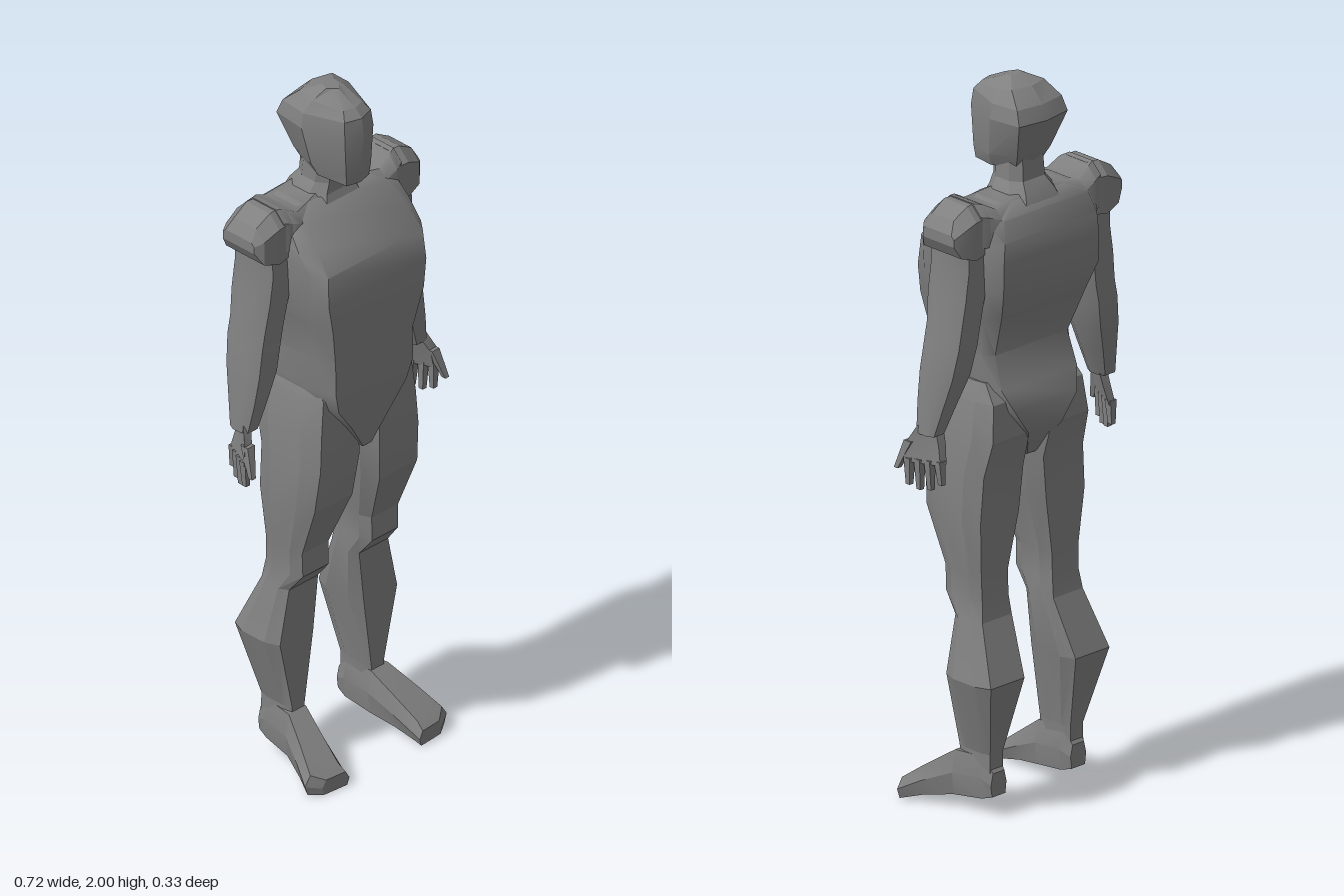
import * as THREE from 'three';
import { toCreasedNormals } from 'three/addons/utils/BufferGeometryUtils.js';

const material = new THREE.MeshStandardMaterial({ color: 0x808080 });

// Closed skin through rings of equal point count, capped at both ends, facing outward
function loft(name, rings, crease = 0.5) {
  const n = rings[0].length;
  const tris = [];
  for (let r = 0; r < rings.length - 1; r++) {
    for (let i = 0; i < n; i++) {
      const j = (i + 1) % n;
      const [a, b, c, d] = [rings[r][i], rings[r][j], rings[r + 1][j], rings[r + 1][i]];
      tris.push([a, b, c], [a, c, d]);
    }
  }
  const first = rings[0], last = rings[rings.length - 1];
  for (let i = 1; i < n - 1; i++) {
    tris.push([first[0], first[i + 1], first[i]], [last[0], last[i], last[i + 1]]);
  }
  const volume = tris.reduce((s, [a, b, c]) => s + a.dot(b.clone().cross(c)), 0);
  const points = tris.flatMap(([a, b, c]) => (volume < 0 ? [a, c, b] : [a, b, c]));
  const geometry = new THREE.BufferGeometry().setFromPoints(points);
  const mesh = new THREE.Mesh(toCreasedNormals(geometry, crease), material);
  mesh.name = name;
  return mesh;
}

// Eight-sided level ring: x from x0 to x1, z from back to front, fx and fz = flat share of each side
function octagon(y, x0, x1, front, back, fx = 0.65, fz = 0.45) {
  const cx = (x0 + x1) / 2, hx = (x1 - x0) / 2;
  const cz = (front + back) / 2, hz = (front - back) / 2;
  return [[fx, 1], [1, fz], [1, -fz], [fx, -1], [-fx, -1], [-1, -fz], [-1, fz], [-fx, 1]]
    .map(([u, v]) => new THREE.Vector3(cx + u * hx, y, cz + v * hz));
}

// Upright ring at a given x, with its top front and top back corners cut off
function sideRing(x, y0, y1, front, back, cut) {
  return [[y0, front], [y1 - cut, front], [y1, front - cut], [y1, back + cut], [y1 - cut, back], [y0, back]]
    .map(([y, z]) => new THREE.Vector3(x, y, z));
}

// Ring mirrored on x from the points of one half, front to back
function mirrored(half) {
  const right = half.map(([x, y, z]) => new THREE.Vector3(x, y, z));
  const left = half.filter(p => p[0] > 0).reverse().map(([x, y, z]) => new THREE.Vector3(-x, y, z));
  return [...right, ...left];
}

const flip = (rings, side, shift = 0) =>
  rings.map(ring => ring.map(p => new THREE.Vector3(side * p.x + shift, p.y, p.z)));

// Tapered four-sided finger between two points
function finger(a, b, w0, w1) {
  return [[a, w0], [b, w1]].map(([p, w]) => [[1, 1], [1, -1], [-1, -1], [-1, 1]]
    .map(([u, v]) => new THREE.Vector3(p[0] + u * w, p[1], p[2] + v * w)));
}

function createTorso() {
  // y, front half width, front z, side half width, side front z, side back z, back half width, back z
  const rows = [
    [1.695, 0.09, 0.01, 0.13, -0.01, -0.09, 0.09, -0.11],
    [1.665, 0.15, 0.042, 0.19, 0.02, -0.11, 0.15, -0.14],
    [1.61, 0.165, 0.098, 0.20, 0.065, -0.12, 0.165, -0.158],
    [1.555, 0.172, 0.145, 0.20, 0.11, -0.12, 0.17, -0.16],
    [1.47, 0.177, 0.153, 0.196, 0.11, -0.12, 0.17, -0.158],
    [1.39, 0.165, 0.156, 0.18, 0.10, -0.09, 0.15, -0.13],
    [1.27, 0.14, 0.14, 0.155, 0.08, -0.06, 0.13, -0.085],
    [1.18, 0.14, 0.142, 0.16, 0.08, -0.07, 0.135, -0.115],
    [1.12, 0.123, 0.135, 0.14, 0.08, -0.08, 0.11, -0.14],
    [1.05, 0.07, 0.128, 0.085, 0.08, -0.08, 0.06, -0.137],
    [0.965, 0.015, 0.115, 0.02, 0.07, -0.06, 0.015, -0.085],
  ];
  return loft('torso', rows.map(([y, a, zf, b, z1, z2, c, zb]) =>
    mirrored([[a, y, zf], [b, y, z1], [b, y, z2], [c, y, zb]])), 0.8);
}

function createHead() {
  // y at front, y at back, nose z, cheek half width and z, temple half width and z, rear half width and z, back z
  const rows = [
    [1.75, 1.765, 0.09, 0.04, 0.08, 0.062, 0.0, 0.045, -0.075, -0.085],
    [1.785, 1.805, 0.094, 0.045, 0.083, 0.08, -0.01, 0.06, -0.095, -0.105],
    [1.90, 1.905, 0.102, 0.052, 0.085, 0.096, -0.03, 0.087, -0.13, -0.144],
    [1.945, 1.945, 0.095, 0.048, 0.08, 0.089, -0.03, 0.08, -0.115, -0.128],
    [1.968, 1.985, 0.072, 0.034, 0.062, 0.067, -0.02, 0.058, -0.072, -0.088],
    [1.998, 2.004, 0.01, 0.015, 0.0, 0.025, -0.01, 0.02, -0.03, -0.035],
  ];
  return loft('head', rows.map(([yf, yb, nose, cw, cz, tw, tz, rw, rz, back]) =>
    mirrored([[0, yf, nose], [cw, yf, cz], [tw, (yf + yb) / 2, tz], [rw, yb, rz], [0, yb, back]])), 0.3);
}

function createArm(side) {
  const arm = new THREE.Group();
  arm.name = side > 0 ? 'leftArm' : 'rightArm';
  const add = (name, rings, crease) => arm.add(loft(name, flip(rings, side), crease));

  // Trapezius bridging the neck and the shoulder cap
  add('shoulderYoke', [
    sideRing(0.05, 1.60, 1.705, 0.01, -0.12, 0.02),
    sideRing(0.15, 1.60, 1.69, 0.035, -0.135, 0.025),
    sideRing(0.19, 1.60, 1.712, 0.035, -0.13, 0.03),
    sideRing(0.215, 1.60, 1.718, 0.025, -0.12, 0.03),
  ], 0.8);
  add('shoulderCap', [
    sideRing(0.20, 1.58, 1.715, 0.027, -0.12, 0.035),
    sideRing(0.235, 1.575, 1.715, 0.03, -0.125, 0.035),
    sideRing(0.282, 1.59, 1.688, 0.022, -0.118, 0.03),
    sideRing(0.302, 1.625, 1.655, 0.005, -0.11, 0.01),
  ], 0.3);

  add('armSleeve', [
    octagon(1.62, 0.18, 0.27, 0.02, -0.115),
    octagon(1.54, 0.172, 0.27, 0.025, -0.115),
    octagon(1.46, 0.178, 0.283, 0.025, -0.115),
    octagon(1.38, 0.19, 0.293, 0.018, -0.11),
    octagon(1.33, 0.20, 0.303, 0.018, -0.11),
    octagon(1.25, 0.217, 0.316, 0.02, -0.10),
    octagon(1.17, 0.25, 0.325, 0.015, -0.08),
    octagon(1.09, 0.28, 0.335, 0.005, -0.06),
  ], 0.9);

  // Palm turned so that the thumb side points forward and outward
  add('palm', [[1.11, 0.293, -0.045, 0.318, -0.005, 0.014], [1.06, 0.296, -0.06, 0.338, 0.02, 0.013],
    [1.01, 0.303, -0.072, 0.345, 0.022, 0.011]].map(([y, xb, zb, xf, zf, t]) =>
    [[xf + t, y, zf], [xf - t, y, zf], [xb - t, y, zb], [xb + t, y, zb]]
      .map(p => new THREE.Vector3(...p))));
  for (let i = 0; i < 4; i++) {
    const x = 0.307 + i * 0.012, z = -0.062 + i * 0.025;
    const tip = [0.955, 0.938, 0.935, 0.945][i];
    add('finger', finger([x, 1.02, z], [x - 0.002, tip, z * 1.1], 0.011, 0.007));
  }
  add('thumb', finger([0.336, 1.065, 0.015], [0.352, 0.985, 0.047], 0.013, 0.007));
  return arm;
}

function createLeg(side) {
  const leg = new THREE.Group();
  leg.name = side > 0 ? 'leftLeg' : 'rightLeg';
  const add = (name, rings, crease) => leg.add(loft(name, flip(rings, side, 0.01), crease));

  // y, inner x, outer x, front z, back z
  const rows = [
    [1.20, 0.10, 0.155, 0.07, -0.08],
    [1.15, 0.06, 0.172, 0.105, -0.12],
    [1.05, 0.02, 0.19, 0.11, -0.13],
    [0.95, 0.016, 0.198, 0.113, -0.103],
    [0.825, 0.03, 0.206, 0.10, -0.10],
    [0.67, 0.065, 0.188, 0.042, -0.09],
    [0.60, 0.066, 0.186, 0.043, -0.092],
    [0.545, 0.06, 0.195, 0.0, -0.10],
    [0.39, 0.075, 0.23, 0.0, -0.165],
    [0.18, 0.115, 0.173, -0.002, -0.115],
    [0.09, 0.115, 0.175, -0.005, -0.115],
  ];
  add('legArmour', rows.map(r => octagon(...r, 0.78, 0.5)), 0.25);

  // z, centre x, half width, sole y, top y, how far the outer edge is swept back
  const foot = [
    [-0.122, 0.143, 0.028, 0.065, 0.13, 0],
    [-0.09, 0.143, 0.036, 0.055, 0.17, 0],
    [0.0, 0.15, 0.043, 0.045, 0.168, 0],
    [0.08, 0.174, 0.056, 0.03, 0.112, 0],
    [0.14, 0.192, 0.066, 0.012, 0.068, 0.004],
    [0.164, 0.173, 0.045, 0.008, 0.05, 0.004],
  ];
  add('foot', foot.map(([z, cx, w, y0, y1, sweep]) => {
    const m = y0 + (y1 - y0) * 0.5;
    return [[-0.85, y0], [0.85, y0], [1, m], [0.72, y1], [-0.72, y1], [-1, m]]
      .map(([u, y]) => new THREE.Vector3(cx + u * w, y, z - u * sweep));
  }), 0.3);
  return leg;
}

export function createModel() {
  const figure = new THREE.Group();
  figure.name = 'armouredFigure';
  figure.add(createTorso(), createHead());
  figure.add(loft('neck', [
    octagon(1.66, -0.10, 0.10, 0.035, -0.135),
    octagon(1.70, -0.078, 0.078, 0.018, -0.118),
    octagon(1.73, -0.06, 0.06, 0.015, -0.095),
    octagon(1.80, -0.056, 0.056, 0.02, -0.09),
  ], 0.3));
  for (const side of [1, -1]) figure.add(createArm(side), createLeg(side));
  // Stand the soles on the ground
  figure.children.forEach(part => { part.position.y -= 0.005; });
  return figure;
}
